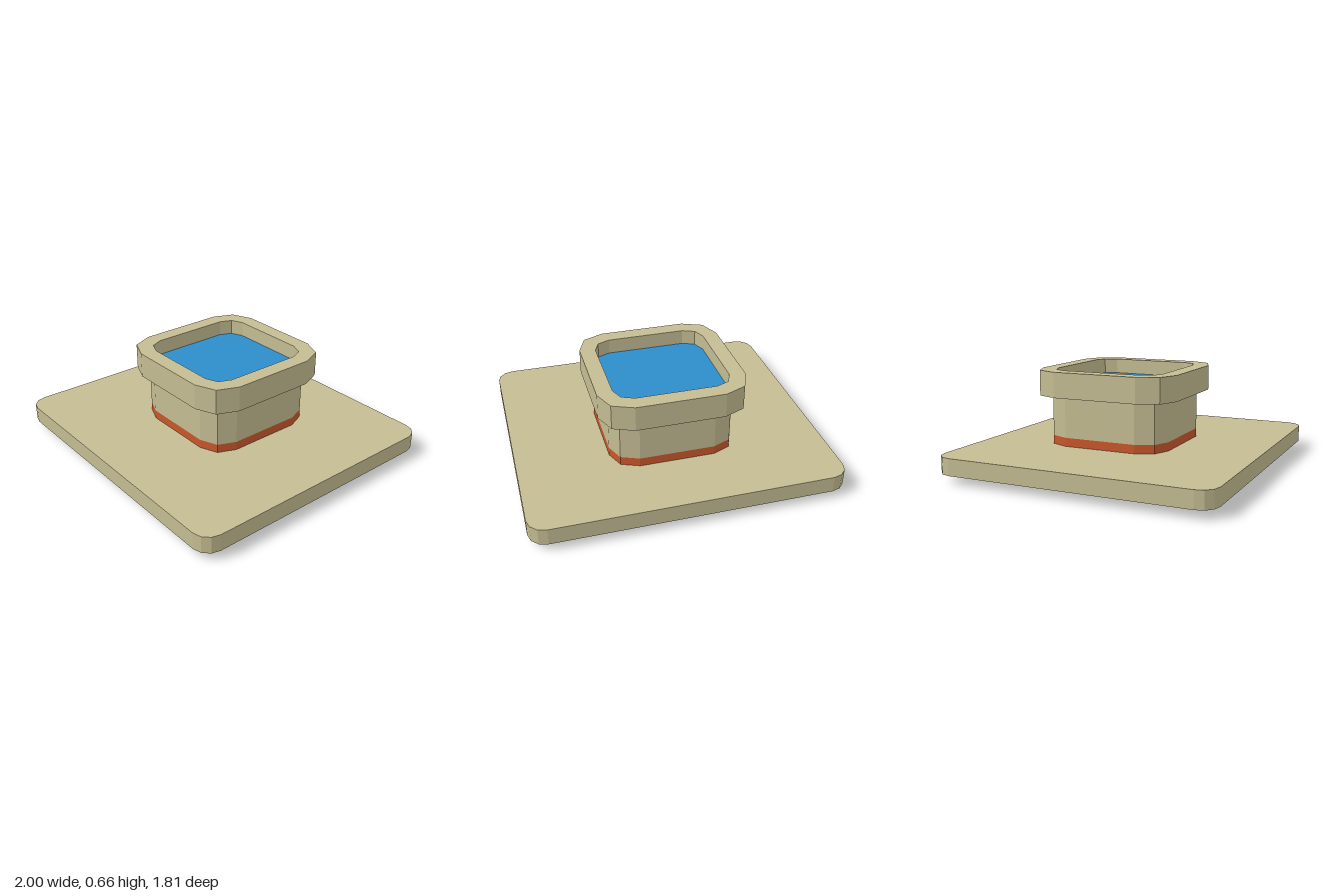
import * as THREE from 'three';

// Rounded-rectangle outline with faceted corners, counter-clockwise
function outline(halfX, halfY, radius, segments) {
  const points = [];
  const signs = [[1, 1], [-1, 1], [-1, -1], [1, -1]];
  signs.forEach(([sx, sy], corner) => {
    for (let i = 0; i <= segments; i++) {
      const a = (corner + i / segments) * Math.PI / 2;
      points.push(new THREE.Vector2(
        sx * (halfX - radius) + radius * Math.cos(a),
        sy * (halfY - radius) + radius * Math.sin(a)));
    }
  });
  return points;
}

// Upright prism between two heights, optionally with a hole
function prism(points, bottom, top, hole) {
  const shape = new THREE.Shape(points);
  if (hole) shape.holes.push(new THREE.Path(hole));
  const geometry = new THREE.ExtrudeGeometry(shape, { depth: top - bottom, bevelEnabled: false });
  return geometry.rotateX(-Math.PI / 2).translate(0, bottom, 0);
}

// Open, flat-shaded wall following an outline
function wall(points, bottom, top) {
  const positions = [];
  points.forEach((p, i) => {
    const q = points[(i + 1) % points.length];
    const a = [p.x, bottom, -p.y], b = [q.x, bottom, -q.y];
    const c = [q.x, top, -q.y], d = [p.x, top, -p.y];
    positions.push(...a, ...b, ...c, ...a, ...c, ...d);
  });
  const geometry = new THREE.BufferGeometry();
  geometry.setAttribute('position', new THREE.Float32BufferAttribute(positions, 3));
  geometry.computeVertexNormals();
  return geometry;
}

export function createModel() {
  const sand = new THREE.MeshStandardMaterial({ color: 0xc4bc92 });
  const orange = new THREE.MeshStandardMaterial({ color: 0xc8572a, side: THREE.DoubleSide });
  const blue = new THREE.MeshStandardMaterial({ color: 0x2d8dca });
  sand.name = 'sand';
  orange.name = 'orange';
  blue.name = 'blue';

  const model = new THREE.Group();
  model.name = 'basin';
  const pedestal = new THREE.Group();
  pedestal.name = 'pedestal';
  pedestal.position.set(-0.005, 0, -0.067);
  model.add(pedestal);

  function add(parent, name, geometry, material) {
    const mesh = new THREE.Mesh(geometry, material);
    mesh.name = name;
    parent.add(mesh);
  }

  const columnOutline = outline(0.409, 0.409, 0.164, 2);
  const rimOutline = outline(0.478, 0.478, 0.193, 2);
  const basinOutline = outline(0.375, 0.375, 0.115, 2);

  // Wide ground slab
  add(model, 'basePlate', prism(outline(1, 0.905, 0.11, 3), 0.055, 0.165), sand);

  // Open orange skirt, running through the slab and below it
  add(pedestal, 'skirt', wall(columnOutline, 0, 0.222), orange);

  // Column and overhanging rim
  add(pedestal, 'column', prism(columnOutline, 0.222, 0.49), sand);
  add(pedestal, 'rim', prism(rimOutline, 0.49, 0.655, basinOutline), sand);

  // Sunken water surface
  const water = new THREE.ShapeGeometry(new THREE.Shape(basinOutline));
  add(pedestal, 'water', water.rotateX(-Math.PI / 2).translate(0, 0.555, 0), blue);

  return model;
}
